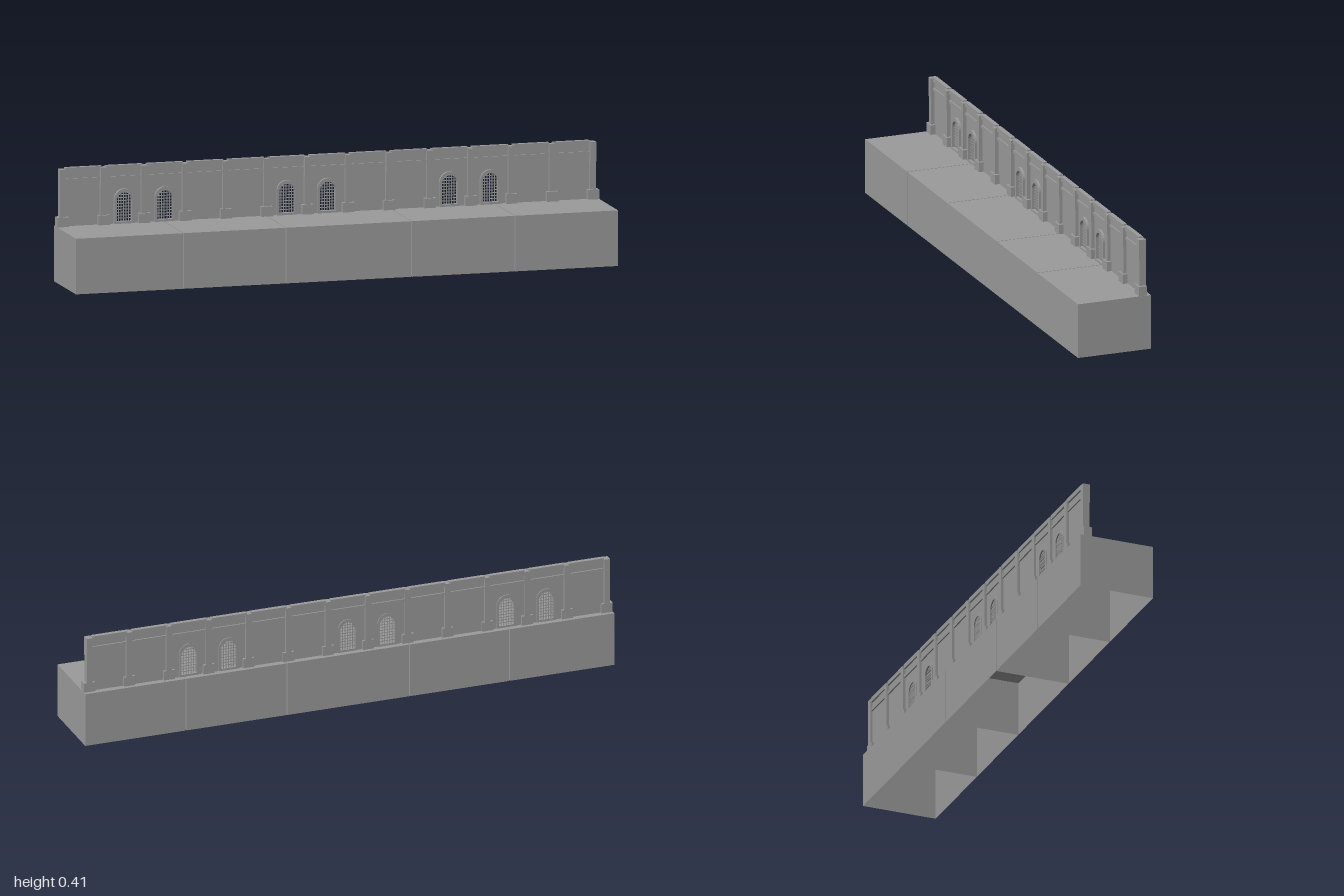
import * as THREE from 'three';

const GREY = 0x9b9b9b;
const mat = new THREE.MeshStandardMaterial({ color: GREY, flatShading: true });
const openMat = new THREE.MeshStandardMaterial({ color: GREY, flatShading: true, side: THREE.DoubleSide });

const FLOOR = 0.2, TOP = 0.411, BAY = 0.15;
const WALL_BACK = -0.116, WALL_FRONT = -0.112;

// Box given by its limits on each axis
function block(parent, name, x0, x1, y0, y1, z0, z1) {
  const mesh = new THREE.Mesh(new THREE.BoxGeometry(x1 - x0, y1 - y0, z1 - z0), mat);
  mesh.position.set((x0 + x1) / 2, (y0 + y1) / 2, (z0 + z1) / 2);
  mesh.name = name;
  parent.add(mesh);
}

// Round-headed outline standing on y0
function arch(path, halfWidth, y0, top) {
  const spring = top - halfWidth;
  path.moveTo(-halfWidth, y0);
  path.lineTo(halfWidth, y0);
  path.lineTo(halfWidth, spring);
  path.absarc(0, spring, halfWidth, 0, Math.PI, false);
  path.lineTo(-halfWidth, y0);
  return path;
}

function extrude(parent, name, shape, z0, z1) {
  const geo = new THREE.ExtrudeGeometry(shape, { depth: z1 - z0, bevelEnabled: false, curveSegments: 12 });
  const mesh = new THREE.Mesh(geo, mat);
  mesh.position.z = z0;
  mesh.name = name;
  parent.add(mesh);
}

// Hollow platform section, open underneath
function platform(x0, x1) {
  const geo = new THREE.BoxGeometry(x1 - x0, FLOOR, 0.278);
  const index = Array.from(geo.index.array);
  index.splice(18, 6);
  geo.setIndex(index);
  geo.clearGroups();
  const mesh = new THREE.Mesh(geo, openMat);
  mesh.position.set((x0 + x1) / 2, FLOOR / 2, 0);
  mesh.name = 'platformSection';
  return mesh;
}

// Arched surround and lattice
function addWindow(bay) {
  const half = 0.028, y0 = 0.208, top = 0.312, spring = top - half;
  const frame = arch(new THREE.Shape(), 0.037, FLOOR, 0.325);
  frame.holes.push(arch(new THREE.Path(), half, y0, top));
  extrude(bay, 'windowSurround', frame, -0.119, -0.103);
  const t = 0.0014, z0 = -0.1155, z1 = -0.1125;
  for (let i = -2; i <= 2; i++) {
    const x = i * 0.0094;
    const y = spring + Math.sqrt(half * half - x * x);
    block(bay, 'latticeUpright', x - t, x + t, y0, y, z0, z1);
  }
  for (let y = y0 + 0.0105; y < top - 0.004; y += 0.0105) {
    const w = y > spring ? Math.sqrt(half * half - (y - spring) ** 2) : half;
    block(bay, 'latticeCrossbar', -w, w, y - t, y + t, z0, z1);
  }
}

// Wall panel between two pillars
function wallBay(hasWindow) {
  const bay = new THREE.Group();
  bay.name = hasWindow ? 'windowBay' : 'plainBay';
  const h = BAY / 2;
  const panel = new THREE.Shape();
  panel.moveTo(-h, FLOOR);
  panel.lineTo(h, FLOOR);
  panel.lineTo(h, 0.398);
  panel.lineTo(-h, 0.398);
  panel.closePath();
  if (hasWindow) {
    panel.holes.push(arch(new THREE.Path(), 0.03, 0.207, 0.313));
    addWindow(bay);
  }
  extrude(bay, 'wallPanel', panel, WALL_BACK, WALL_FRONT);
  const c = 0.067;
  block(bay, 'cornice', -c, c, 0.394, TOP, -0.122, -0.106);
  block(bay, 'moulding', -c, c, 0.36, 0.371, -0.121, -0.107);
  return bay;
}

// Pillar with stepped foot and a slightly proud upper shaft
function pillar() {
  const g = new THREE.Group();
  g.name = 'pillar';
  block(g, 'lowerShaft', -0.011, 0.011, FLOOR, 0.335, -0.125, -0.0995);
  block(g, 'upperShaft', -0.011, 0.011, 0.335, 0.406, -0.125, -0.098);
  block(g, 'foot', -0.021, 0.021, FLOOR, 0.235, -0.125, -0.094);
  return g;
}

export function createModel() {
  const model = new THREE.Group();
  model.name = 'platformWithWall';

  const seams = [-1, -0.604, -0.226, 0.238, 0.619, 1];
  const gap = 0.0015;
  for (let i = 0; i < 5; i++) {
    model.add(platform(seams[i] + (i > 0 ? gap : 0), seams[i + 1] - (i < 4 ? gap : 0)));
  }

  const windows = [-5, -4, -1, 0, 3, 4];
  for (let i = -6; i <= 6; i++) {
    const bay = wallBay(windows.includes(i));
    bay.position.x = i * BAY;
    model.add(bay);
  }

  for (let i = 0; i < 14; i++) {
    const p = pillar();
    p.position.x = (i - 6.5) * BAY * 1.003;
    model.add(p);
  }
  return model;
}
